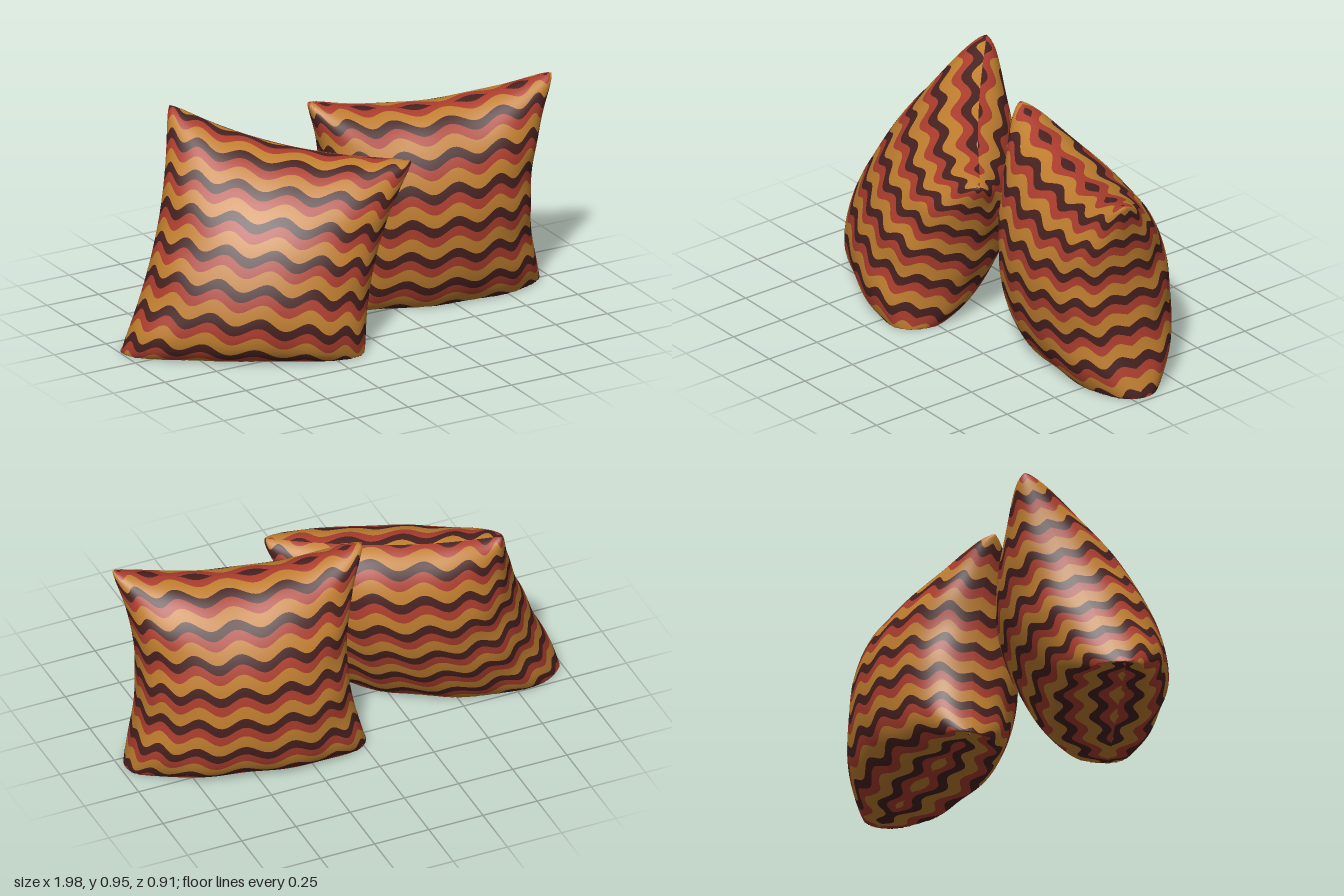
import * as THREE from 'three';

const gold = new THREE.MeshStandardMaterial({ name: 'gold', color: 0xc07e2f });
const red = new THREE.MeshStandardMaterial({ name: 'rust red', color: 0xab3d2d });
const dark = new THREE.MeshStandardMaterial({ name: 'dark brown', color: 0x47211f });

// Bands of one repeat, from bottom to top: colour and share of the period
const BANDS = [[red, 0.3], [dark, 0.3], [gold, 0.4]];
const PERIOD = 0.148, WAVE = 0.023, WAVES = 7;
const COLS = 96, ROWS = 3, SAMPLES = 160;

const clamp = (x, lo, hi) => Math.max(lo, Math.min(hi, x));
const ease = (x) => Math.sin((x * Math.PI) / 2);

// Surface of a stuffed cushion stretched between four corners; side is +1 front, -1 back
function cushionSurface({ corners, thick, pinch, lean }) {
  const [bl, br, tr, tl] = corners.map((c) => new THREE.Vector3(...c));
  const w = br.clone().sub(bl).add(tr).sub(tl);
  const h = tl.clone().sub(bl).add(tr).sub(br);
  const n = w.cross(h).normalize();
  n.y *= lean;
  n.normalize();
  return (a, q, side) => {
    const u = ease(a), v = ease(q);
    // edges drawn in between the blunt corners, except where it rests on the floor
    const blunt = 1 - 0.03 * Math.pow(u * v, 12);
    const pu = u * blunt * (1 - pinch[0] * (1 - v * v));
    const pv = v > 0 ? v * blunt * (1 - pinch[1] * (1 - u * u)) : v;
    const s = (pu + 1) / 2, t = (pv + 1) / 2;
    const p = bl.clone().lerp(br, s).lerp(tl.clone().lerp(tr, s), t);
    // full sagging bottom, tapering top, soft creases close to the seams
    const body = Math.pow(Math.max(0, 1 - u * u), 0.38)
      * Math.pow(Math.max(0, 1 - v * v), v > 0 ? 0.48 : 0.3);
    const crease = 1 + 0.07 * Math.pow(u, 4) * Math.sin(11 * v + 3 * u)
      + 0.05 * Math.pow(v, 4) * Math.sin(9 * u + 2 * side);
    p.addScaledVector(n, side * thick * body * crease * (1 - 0.12 * v));
    p.y = Math.max(0.004, p.y);
    return p;
  };
}

function normalAt(surface, a, q, side) {
  const e = 0.012, x = a * 0.98, y = q * 0.98;
  const du = surface(x + e, y, side).sub(surface(x - e, y, side));
  const dv = surface(x, y + e, side).sub(surface(x, y - e, side));
  return du.cross(dv).multiplyScalar(side).normalize();
}

// Cloth length up one column, measured from its middle, so that stripes keep an even width
function measureColumn(surface, a, side) {
  const lengths = [0];
  let last = surface(a, -1, side);
  for (let i = 1; i <= SAMPLES; i++) {
    const p = surface(a, (i / SAMPLES) * 2 - 1, side);
    lengths.push(lengths[i - 1] + p.distanceTo(last));
    last = p;
  }
  const middle = lengths[SAMPLES / 2];
  return lengths.map((l) => l - middle);
}

// Height parameter at a given cloth length
function heightAt(lengths, length) {
  let i = 1;
  while (i < SAMPLES && lengths[i] < length) i++;
  const span = lengths[i] - lengths[i - 1];
  const f = span > 0 ? clamp((length - lengths[i - 1]) / span, 0, 1) : 0;
  return ((i - 1 + f) / SAMPLES) * 2 - 1;
}

// One wavy stripe between two cloth lengths, on both faces of the cushion
function stripeGeometry(surface, columns, low, high) {
  const pos = [], nor = [], idx = [];
  for (const side of [1, -1]) {
    const base = pos.length / 3;
    for (let c = 0; c <= COLS; c++) {
      const a = (c / COLS) * 2 - 1;
      const lengths = columns[side][c];
      const wave = WAVE * Math.sin(a * Math.PI * WAVES);
      const lo = clamp(low + wave, lengths[0], lengths[SAMPLES]);
      const hi = clamp(high + wave, lengths[0], lengths[SAMPLES]);
      for (let r = 0; r <= ROWS; r++) {
        const q = heightAt(lengths, lo + ((hi - lo) * r) / ROWS);
        pos.push(...surface(a, q, side).toArray());
        nor.push(...normalAt(surface, a, q, side).toArray());
        if (r === ROWS || c === COLS || hi - lo < 1e-6 && c > 0 && c < COLS - 1 && high < lengths[0] - WAVE) continue;
        const i = base + c * (ROWS + 1) + r, j = i + ROWS + 1;
        if (side > 0) idx.push(i, j, j + 1, i, j + 1, i + 1);
        else idx.push(i, j + 1, j, i, i + 1, j + 1);
      }
    }
  }
  const g = new THREE.BufferGeometry();
  g.setAttribute('position', new THREE.Float32BufferAttribute(pos, 3));
  g.setAttribute('normal', new THREE.Float32BufferAttribute(nor, 3));
  g.setIndex(idx);
  return g;
}

function cushion(name, spec) {
  const group = new THREE.Group();
  group.name = name;
  const surface = cushionSurface(spec);
  const columns = {};
  for (const side of [1, -1]) {
    columns[side] = Array.from({ length: COLS + 1 }, (_, c) =>
      measureColumn(surface, (c / COLS) * 2 - 1, side));
  }
  const all = [...columns[1], ...columns[-1]];
  const bottom = Math.min(...all.map((l) => l[0])) - WAVE;
  const top = Math.max(...all.map((l) => l[SAMPLES])) + WAVE;
  let low = -0.02 - PERIOD * 8.45;
  for (let k = 0; low < top; k++) {
    const [material, share] = BANDS[k % BANDS.length];
    const high = low + PERIOD * share;
    if (high > bottom) {
      const mesh = new THREE.Mesh(stripeGeometry(surface, columns, low, high), material);
      mesh.name = `${material.name} stripe`;
      group.add(mesh);
    }
    low = high;
  }
  return group;
}

export function createModel() {
  const model = new THREE.Group();
  model.name = 'pair of cushions';
  // corners: bottom left, bottom right, top right, top left
  model.add(cushion('leaning cushion', {
    corners: [[-1, -0.03, -0.16], [-0.1, -0.03, 0.38], [0.22, 0.77, 0.24], [-0.61, 0.97, -0.42]],
    thick: 0.31, pinch: [0.12, 0.14], lean: 0.6,
  }));
  model.add(cushion('upright cushion', {
    corners: [[-0.05, -0.03, -0.28], [0.99, -0.03, -0.04], [1, 0.96, 0.06], [-0.08, 0.95, -0.18]],
    thick: 0.32, pinch: [0.18, 0.2], lean: 1,
  }));
  return model;
}
